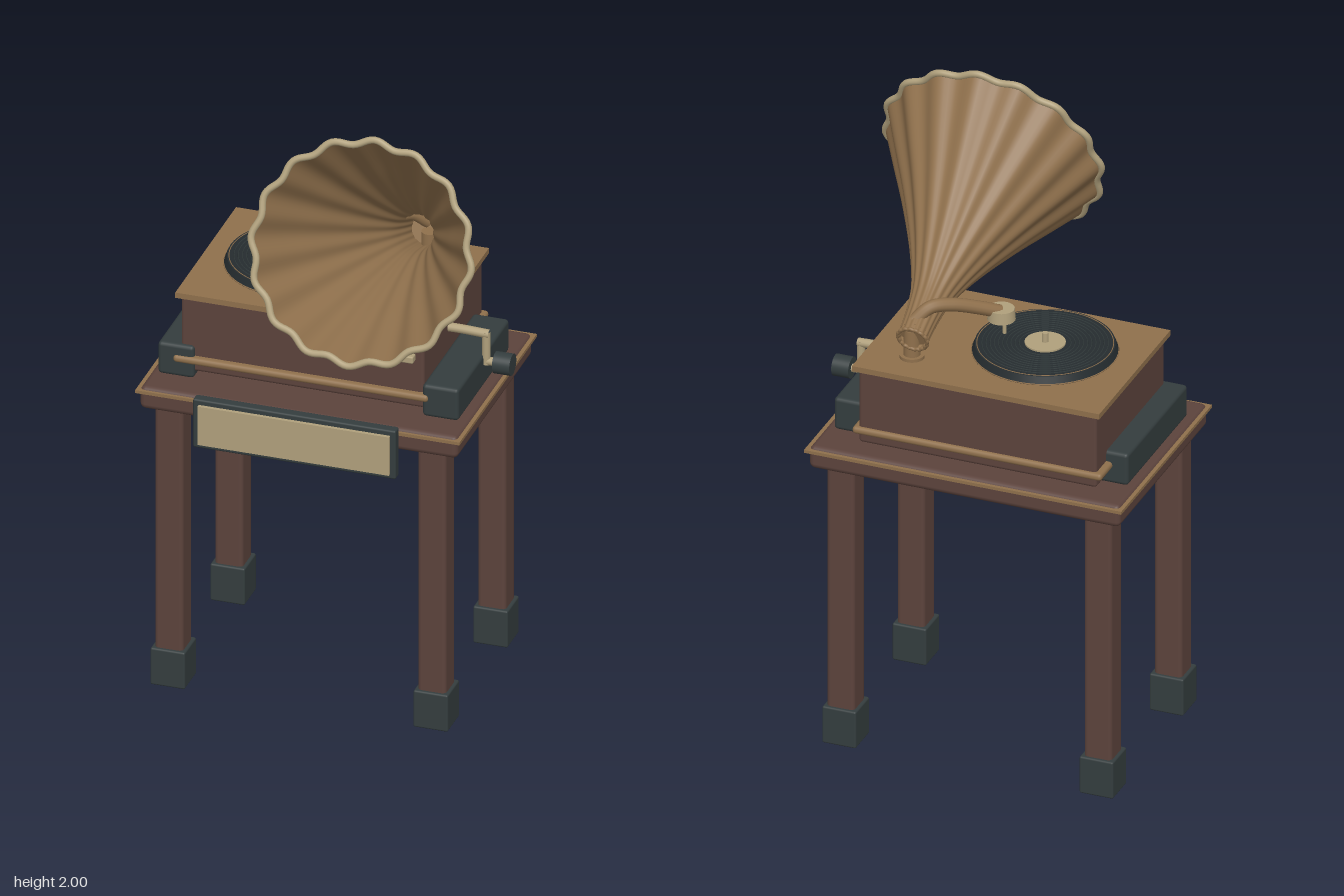
import * as THREE from 'three';
import { RoundedBoxGeometry } from 'three/addons/geometries/RoundedBoxGeometry.js';
import { ParametricGeometry } from 'three/addons/geometries/ParametricGeometry.js';

const mat = (name, color, extra = {}) => {
  const m = new THREE.MeshStandardMaterial({ color, ...extra });
  m.name = name;
  return m;
};

export function createModel() {
  const model = new THREE.Group();
  model.name = 'hornRecordPlayer';
  const wood = mat('darkWood', 0x5c433c);
  const brass = mat('brass', 0x8f704c, { side: THREE.DoubleSide });
  const cream = mat('cream', 0xb0a07c);
  const iron = mat('iron', 0x343d3e);
  const vinyl = mat('vinyl', 0x252c2f);

  const add = (name, geometry, material, x = 0, y = 0, z = 0) => {
    const mesh = new THREE.Mesh(geometry, material);
    mesh.name = name;
    mesh.position.set(x, y, z);
    model.add(mesh);
    return mesh;
  };
  // Box given by its limits, with optional rounded edges
  const box = (name, material, [x0, x1], [y0, y1], [z0, z1], r = 0) => {
    const size = [x1 - x0, y1 - y0, z1 - z0];
    const g = r ? new RoundedBoxGeometry(...size, 2, r) : new THREE.BoxGeometry(...size);
    return add(name, g, material, (x0 + x1) / 2, (y0 + y1) / 2, (z0 + z1) / 2);
  };
  const disc = (name, material, r, y0, y1, x, z, rBottom = r) =>
    add(name, new THREE.CylinderGeometry(r, rBottom, y1 - y0, 48), material, x, (y0 + y1) / 2, z);
  const V = (x, y, z) => new THREE.Vector3(x, y, z);
  const tube = (name, material, points, r, closed = false, steps = 32) =>
    add(name, new THREE.TubeGeometry(new THREE.CatmullRomCurve3(points, closed), steps, r, 12, closed), material);

  // Table: top, trim, legs and feet
  box('tableTop', wood, [-0.55, 0.46], [0.945, 1.02], [-0.483, 0.225], 0.018);
  box('tableTrim', brass, [-0.56, 0.47], [1.001, 1.011], [-0.492, 0.232]);
  for (const x of [-0.465, 0.37]) {
    for (const z of [-0.405, 0.155]) {
      box('leg', wood, [x - 0.045, x + 0.045], [0.1, 0.96], [z - 0.045, z + 0.045], 0.014);
      box('foot', iron, [x - 0.055, x + 0.055], [0, 0.125], [z - 0.055, z + 0.055], 0.006);
    }
  }

  // Plaque on the front edge
  box('plaqueFrame', iron, [-0.367, 0.277], [0.865, 1.03], [0.228, 0.262], 0.006);
  box('plaquePanel', cream, [-0.348, 0.26], [0.882, 1.013], [0.26, 0.274]);

  // Cabinet with lid, moulding and side bolsters
  box('cabinet', wood, [-0.455, 0.317], [1.04, 1.29], [-0.433, 0.113], 0.01);
  box('lid', brass, [-0.47, 0.333], [1.286, 1.304], [-0.447, 0.122]);
  box('moulding', brass, [-0.475, 0.335], [1.07, 1.094], [-0.445, 0.134], 0.011);
  box('leftBolster', iron, [0.315, 0.43], [1.02, 1.128], [-0.354, 0.126], 0.012);
  box('rightBolster', iron, [-0.525, -0.41], [1.02, 1.128], [-0.354, 0.126], 0.012);
  box('frontCatch', cream, [0.246, 0.29], [1.198, 1.222], [0.105, 0.138], 0.005);

  // Crank: shaft, drop arm, grip rod and knob
  tube('crankShaft', cream, [V(0.3, 1.2, -0.12), V(0.36, 1.2, -0.12), V(0.445, 1.197, -0.12)], 0.014);
  tube('crankArm', cream, [V(0.436, 1.205, -0.12), V(0.436, 1.15, -0.12), V(0.436, 1.095, -0.12)], 0.013);
  tube('crankRod', cream, [V(0.436, 1.105, -0.12), V(0.45, 1.105, -0.12), V(0.47, 1.105, -0.12)], 0.013);
  const knob = disc('crankKnob', iron, 0.034, 0, 0.055, 0, 0);
  knob.rotation.z = Math.PI / 2;
  knob.position.set(0.492, 1.105, -0.12);

  // Record on its platter
  const rx = -0.176, rz = -0.155;
  disc('platter', iron, 0.19, 1.3, 1.318, rx, rz);
  disc('record', vinyl, 0.212, 1.316, 1.341, rx, rz, 0.222);
  const ring = (r, y, t) => {
    add('recordRing', new THREE.TorusGeometry(r, t, 6, 72), brass, rx, y, rz).rotation.x = Math.PI / 2;
  };
  ring(0.221, 1.318, 0.002);
  ring(0.206, 1.341, 0.0015);
  for (let i = 0; i < 10; i++) {
    add('groove', new THREE.TorusGeometry(0.078 + i * 0.0125, 0.0018, 4, 64), iron, rx, 1.341, rz).rotation.x = Math.PI / 2;
  }
  disc('recordLabel', cream, 0.062, 1.338, 1.346, rx, rz);
  disc('spindle', cream, 0.01, 1.34, 1.376, rx, rz);

  // Tone arm, sound box and horn support
  tube('toneArm', brass, [V(0.18, 1.43, -0.33), V(0.14, 1.468, -0.295), V(0.09, 1.465, -0.25),
    V(0.02, 1.435, -0.185), V(-0.025, 1.412, -0.145)], 0.021);
  disc('soundBox', cream, 0.04, 1.388, 1.425, -0.03, -0.145, 0.043);
  disc('needle', cream, 0.006, 1.341, 1.39, -0.04, -0.145);
  disc('hornSupport', brass, 0.026, 1.3, 1.4, 0.187, -0.325);
  disc('supportFlange', brass, 0.038, 1.3, 1.314, 0.187, -0.325);

  // Fluted horn: a flaring profile swept along a tilted axis
  const throat = V(0.17, 1.387, -0.363), mouth = V(0.198, 1.672, 0.35);
  const length = throat.distanceTo(mouth);
  const axis = mouth.clone().sub(throat).normalize();
  const side = V(1, 0, 0).addScaledVector(axis, -axis.x).normalize();
  const rise = axis.clone().cross(side).normalize();
  const profile = new THREE.SplineCurve([[0, 0.046], [0.1, 0.052], [0.2, 0.07], [0.34, 0.122],
    [0.5, 0.197], [0.63, 0.265], [length, 0.337]].map(p => new THREE.Vector2(...p)));
  const hornPoint = (u, v, target) => {
    const a = u * Math.PI * 2, p = profile.getPoint(v);
    const r = p.y * (1 + 0.026 * Math.cos(16 * a));
    return target.copy(throat).addScaledVector(axis, p.x)
      .addScaledVector(side, r * Math.cos(a)).addScaledVector(rise, r * Math.sin(a));
  };
  add('horn', new ParametricGeometry(hornPoint, 160, 28), brass);
  const loop = (v, n) => Array.from({ length: n }, (_, i) => hornPoint(i / n, v, V(0, 0, 0)));
  tube('hornRim', cream, loop(1, 128), 0.011, true, 192);
  tube('throatRing', brass, loop(0, 64), 0.006, true, 96);
  const cap = add('throatCap', new THREE.CircleGeometry(0.047, 32), brass);
  cap.position.copy(throat).addScaledVector(axis, 0.02);
  cap.quaternion.setFromUnitVectors(V(0, 0, 1), axis);

  return model;
}
